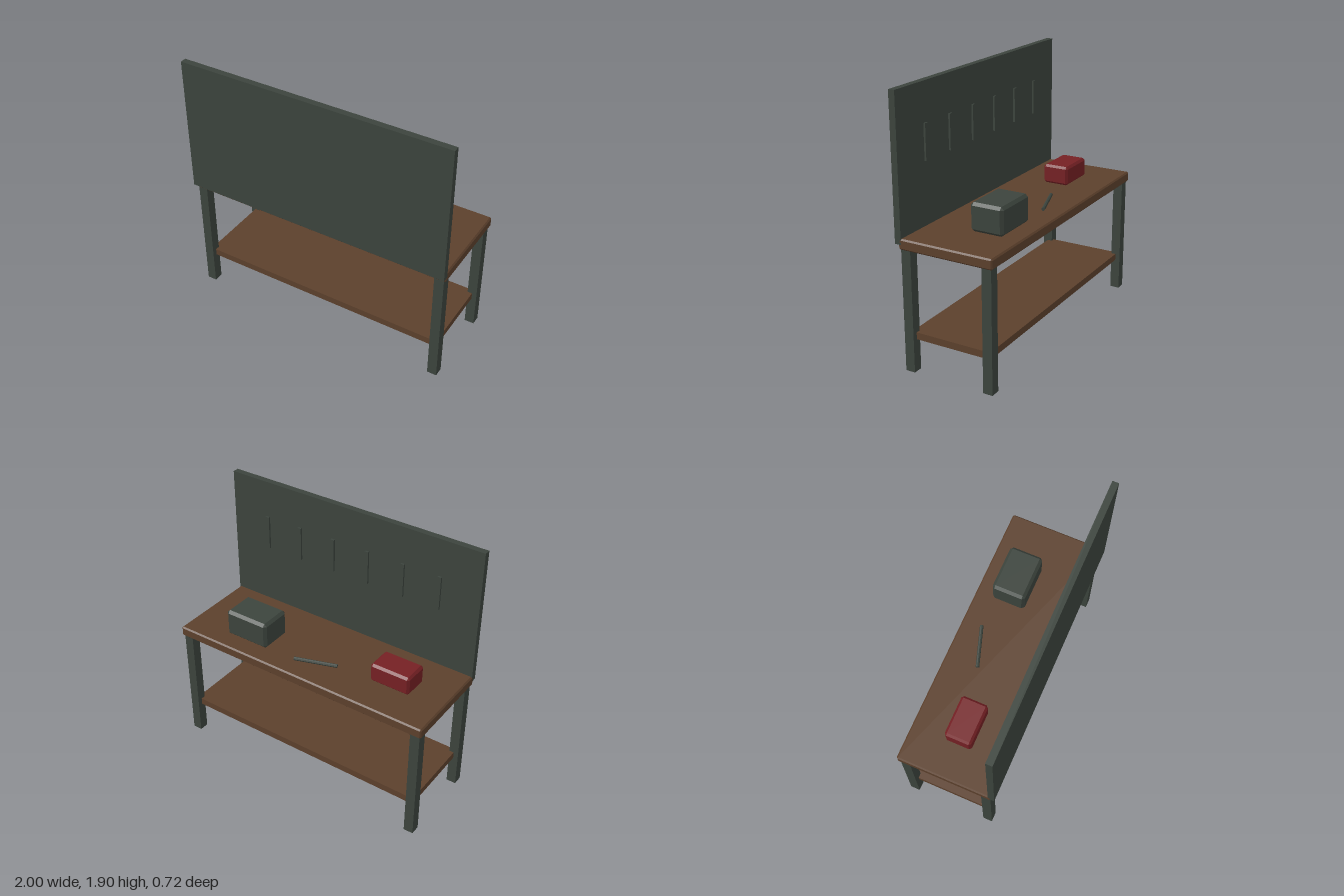
import * as THREE from 'three';
import { ConvexGeometry } from 'three/addons/geometries/ConvexGeometry.js';

const material = (name, color) => {
  const m = new THREE.MeshStandardMaterial({ color });
  m.name = name;
  return m;
};

// Box with flat chamfers on every edge
function chamferBox(w, h, d, c) {
  const pts = [];
  for (const x of [-1, 1]) for (const y of [-1, 1]) for (const z of [-1, 1]) {
    for (let axis = 0; axis < 3; axis++) {
      const inset = [c, c, c];
      inset[axis] = 0;
      pts.push(new THREE.Vector3(
        x * (w / 2 - inset[0]), y * (h / 2 - inset[1]), z * (d / 2 - inset[2])));
    }
  }
  return new ConvexGeometry(pts);
}

export function createModel() {
  const group = new THREE.Group();
  group.name = 'workbench';
  const wood = material('brown wood', 0x5c402c);
  const steel = material('green grey steel', 0x3c443d);
  const red = material('red paint', 0x752024);

  const add = (name, geometry, mat, x, y, z) => {
    const mesh = new THREE.Mesh(geometry, mat);
    mesh.name = name;
    mesh.position.set(x, y, z);
    group.add(mesh);
    return mesh;
  };

  // Bench top and lower shelf
  add('benchTop', chamferBox(2, 0.075, 0.695, 0.01), wood, 0, 0.9025, -0.0125);
  add('lowerShelf', new THREE.BoxGeometry(1.9, 0.05, 0.6), wood, 0, 0.255, -0.01);

  // Legs
  const legGeometry = new THREE.BoxGeometry(0.07, 0.87, 0.07);
  for (const x of [-0.95, 0.95]) for (const z of [-0.31, 0.29]) {
    add('leg', legGeometry, steel, x, 0.435, z);
  }

  // Upright tool panel with a row of hanging bars
  add('toolPanel', new THREE.BoxGeometry(2, 1, 0.046), steel, 0, 1.4, 0.337);
  const barGeometry = new THREE.BoxGeometry(0.028, 0.25, 0.025);
  for (let i = 0; i < 6; i++) {
    add('hangingBar', barGeometry, steel, -0.7 + i * 0.28, 1.505, 0.3125);
  }

  // Things lying on the bench
  add('steelCase', chamferBox(0.345, 0.2, 0.245, 0.02), steel, 0.498, 1.041, -0.115);
  add('redToolbox', chamferBox(0.3, 0.14, 0.195, 0.016), red, -0.604, 1.009, -0.014);
  const rodGeometry = new THREE.CylinderGeometry(0.013, 0.013, 0.31, 8).toNonIndexed();
  rodGeometry.computeVertexNormals();
  rodGeometry.rotateZ(Math.PI / 2);
  add('rod', rodGeometry, steel, -0.05, 0.953, -0.167).rotation.y = 0.32;

  return group;
}
